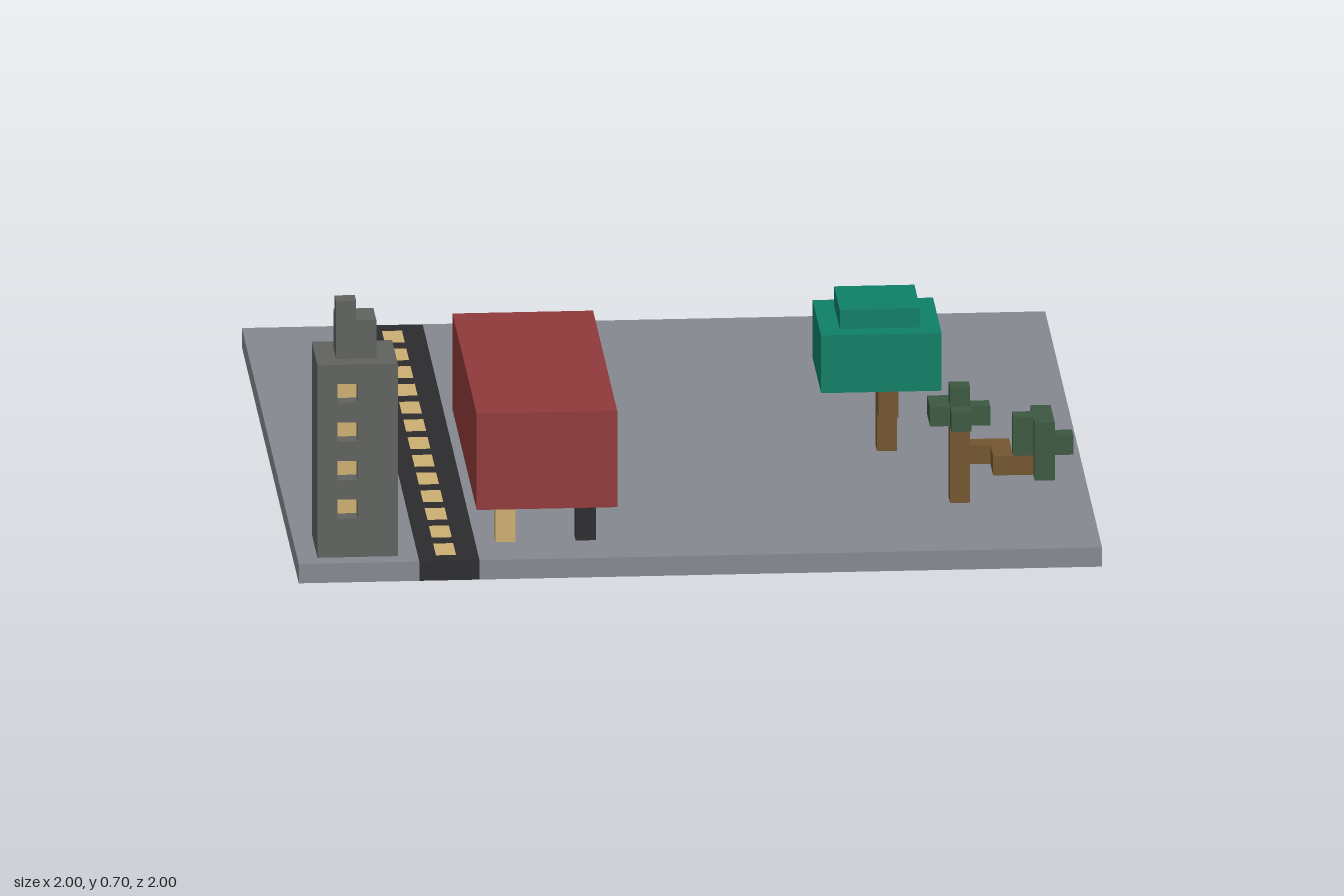
import * as THREE from 'three';

const mat = (name, color) => {
  const m = new THREE.MeshStandardMaterial({ color });
  m.name = name;
  return m;
};

export function createModel() {
  const paving = mat('paving grey', 0x84898f);
  const asphalt = mat('asphalt black', 0x2c2b2d);
  const sand = mat('sand yellow', 0xcbae71);
  const stone = mat('stone grey', 0x60625f);
  const red = mat('bus red', 0x8f393a);
  const jade = mat('jade green', 0x0f7f66);
  const leaf = mat('dark leaf green', 0x3c5841);
  const bark = mat('bark brown', 0x735530);

  const model = new THREE.Group();
  model.name = 'townBlock';
  const group = (name) => {
    const g = new THREE.Group();
    g.name = name;
    model.add(g);
    return g;
  };

  // Box given by its lower and upper limits on each axis
  const block = (parent, name, material, [x0, x1], [y0, y1], [z0, z1]) => {
    const mesh = new THREE.Mesh(new THREE.BoxGeometry(x1 - x0, y1 - y0, z1 - z0), material);
    mesh.position.set((x0 + x1) / 2, (y0 + y1) / 2, (z0 + z1) / 2);
    mesh.name = name;
    parent.add(mesh);
  };

  // Floor plan in x and z, extruded upwards from y0 to y1
  const slab = (parent, name, material, plan, holes, y0, y1) => {
    const flip = (pts) => pts.map(([x, z]) => new THREE.Vector2(x, -z));
    const shape = new THREE.Shape(flip(plan));
    for (const h of holes) shape.holes.push(new THREE.Path(flip(h)));
    const geo = new THREE.ExtrudeGeometry(shape, { depth: y1 - y0, bevelEnabled: false });
    geo.rotateX(-Math.PI / 2);
    const mesh = new THREE.Mesh(geo, material);
    mesh.position.y = y0;
    mesh.name = name;
    parent.add(mesh);
  };
  const rect = (x0, x1, z0, z1) => [[x0, z0], [x0, z1], [x1, z1], [x1, z0]];

  // Ground, with the tower footing let into it
  const ground = group('ground');
  slab(ground, 'groundWest', paving, rect(-1, -0.7, -1, 1), [rect(-0.95, -0.75, 0.75, 0.95)], 0, 0.05);
  block(ground, 'groundEast', paving, [-0.55, 1], [0, 0.05], [-1, 1]);

  // Road with inlaid dashes
  const road = group('road');
  const dashes = [];
  for (let i = 0; i < 13; i++) {
    const z = -0.95 + i * 0.15;
    dashes.push(rect(-0.655, -0.605, z, z + 0.1));
    block(road, 'roadDash', sand, [-0.655, -0.605], [0, 0.05], [z, z + 0.1]);
  }
  slab(road, 'roadSurface', asphalt, rect(-0.7, -0.55, -1, 1), dashes, 0, 0.05);

  // Tower: solid storeys alternating with window bands notched on three sides
  const tower = group('tower');
  const full = rect(-0.95, -0.75, 0.75, 0.95);
  const frontNotch = [[-0.9, 0.95], [-0.9, 0.9], [-0.85, 0.9], [-0.85, 0.95]];
  const sideNotch = [[-0.75, 0.9], [-0.8, 0.9], [-0.8, 0.85], [-0.75, 0.85]];
  const backNotch = [[-0.8, 0.75], [-0.8, 0.8], [-0.85, 0.8], [-0.85, 0.75]];
  const plan = (...notches) => {
    const [front, side, back] = notches;
    return [full[0], full[1], ...front, full[2], ...side, full[3], ...back];
  };
  slab(tower, 'towerBase', stone, full, [], 0, 0.05);
  slab(tower, 'doorStorey', stone, plan([], [], backNotch), [], 0.05, 0.15);
  for (let i = 0; i < 4; i++) {
    const y = 0.15 + i * 0.1;
    const h = [y, y + 0.05];
    slab(tower, 'windowBand', stone, plan(frontNotch, sideNotch, i ? backNotch : []), [], ...h);
    block(tower, 'frontWindow', sand, [-0.9, -0.85], h, [0.899, 0.904]);
    block(tower, 'sideWindow', sand, [-0.801, -0.796], h, [0.85, 0.9]);
    if (i) block(tower, 'backWindow', sand, [-0.85, -0.8], h, [0.796, 0.801]);
    slab(tower, 'towerStorey', stone, full, [], y + 0.05, y + 0.1);
  }
  block(tower, 'towerCap', stone, [-0.9, -0.8], [0.55, 0.65], [0.8, 0.9]);
  block(tower, 'towerChimney', stone, [-0.9, -0.85], [0.65, 0.7], [0.85, 0.9]);

  // Bus on four posts, one of them pale
  const bus = group('bus');
  block(bus, 'busBody', red, [-0.55, -0.2], [0.15, 0.4], [0.05, 0.9]);
  for (const x of [-0.5, -0.3])
    for (const z of [0.1, 0.8])
      block(bus, 'busWheel', x < -0.4 && z > 0.5 ? sand : asphalt, [x, x + 0.05], [0.05, 0.15], [z, z + 0.05]);

  // Broad tree with a stepped crown
  const broad = group('broadTree');
  block(broad, 'lowerTrunk', bark, [0.5, 0.55], [0.05, 0.2], [0.1, 0.15]);
  block(broad, 'upperTrunk', bark, [0.5, 0.55], [0.15, 0.25], [0.15, 0.2]);
  block(broad, 'crown', jade, [0.35, 0.65], [0.25, 0.4], [0, 0.3]);
  block(broad, 'crownTop', jade, [0.4, 0.6], [0.4, 0.45], [0.05, 0.25]);

  // Crooked tree with a side branch
  const crooked = group('crookedTree');
  block(crooked, 'trunk', bark, [0.65, 0.7], [0.05, 0.25], [0.55, 0.6]);
  block(crooked, 'branchStart', bark, [0.7, 0.8], [0.15, 0.2], [0.55, 0.6]);
  block(crooked, 'branchMiddle', bark, [0.75, 0.8], [0.15, 0.2], [0.6, 0.7]);
  block(crooked, 'branchEnd', bark, [0.8, 0.85], [0.15, 0.2], [0.65, 0.7]);
  const topLeaves = [
    [0.6, 0.5], [0.65, 0.5], [0.6, 0.55], [0.65, 0.55], [0.7, 0.55], [0.65, 0.6],
  ];
  for (const [x, z] of topLeaves)
    block(crooked, 'topLeaf', leaf, [x, x + 0.05], [0.25, 0.3], [z, z + 0.05]);
  block(crooked, 'topLeafTip', leaf, [0.65, 0.7], [0.3, 0.35], [0.55, 0.6]);
  block(crooked, 'branchLeaves', leaf, [0.85, 0.9], [0.15, 0.3], [0.6, 0.75]);
  block(crooked, 'branchLeafInner', leaf, [0.8, 0.85], [0.2, 0.3], [0.65, 0.7]);
  block(crooked, 'branchLeafTip', leaf, [0.9, 0.95], [0.2, 0.25], [0.65, 0.7]);

  return model;
}
